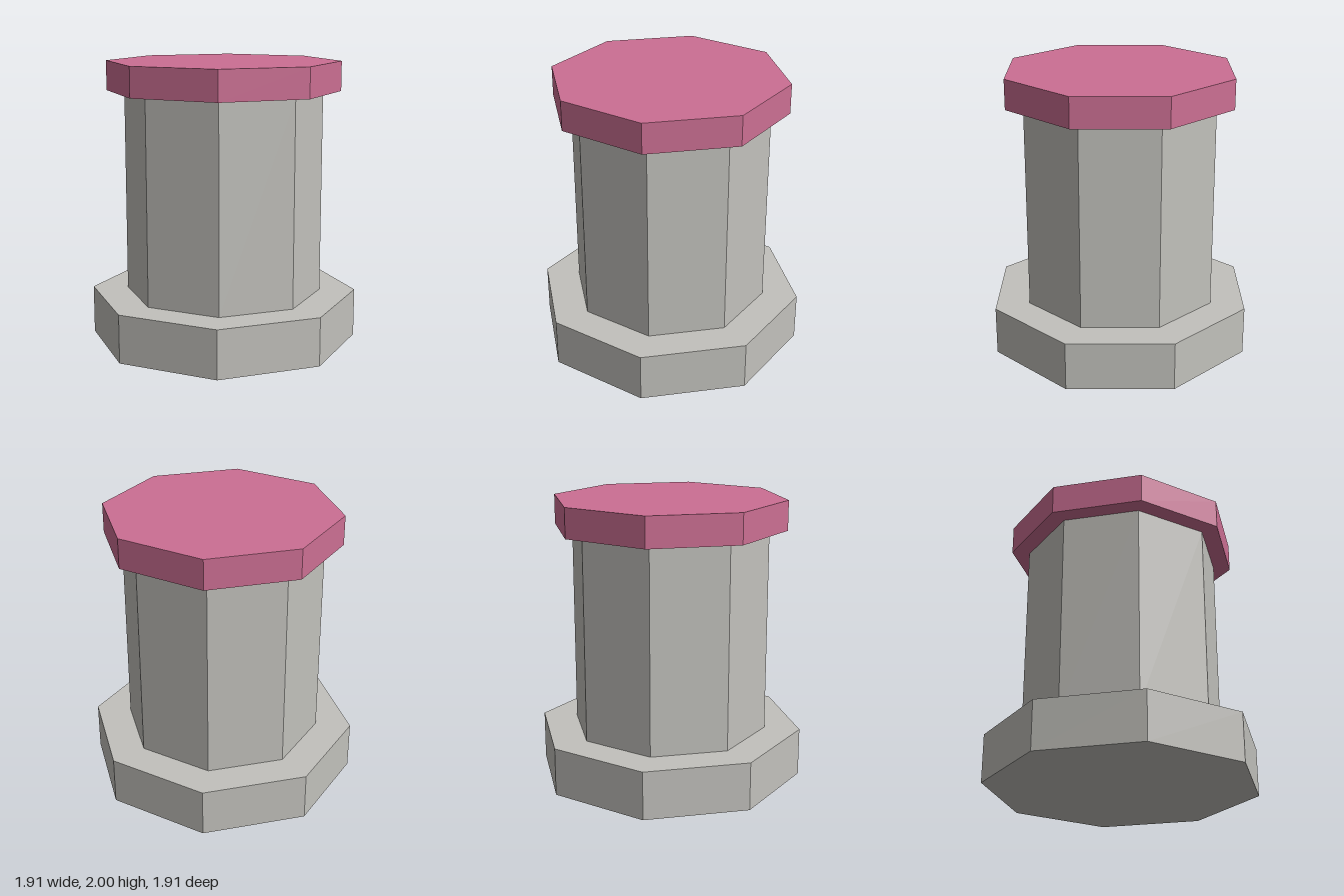
import * as THREE from 'three';

export function createModel() {
  const model = new THREE.Group();
  model.name = 'octagonalPillar';

  const stone = new THREE.MeshStandardMaterial({ color: 0xc2c1bc, flatShading: true });
  stone.name = 'pale grey stone';
  const pink = new THREE.MeshStandardMaterial({ color: 0xcc6f93, flatShading: true });
  pink.name = 'rose pink';

  // Eight-sided prism with corners on the x and z axes
  function addPrism(name, radius, bottom, top, material) {
    const mesh = new THREE.Mesh(new THREE.CylinderGeometry(radius, radius, top - bottom, 8), material);
    mesh.name = name;
    mesh.position.y = (bottom + top) / 2;
    model.add(mesh);
  }

  addPrism('base', 0.957, 0, 0.343, stone);
  addPrism('column', 0.703, 0.343, 1.79, stone);
  addPrism('cap', 0.829, 1.79, 2, pink);

  return model;
}
